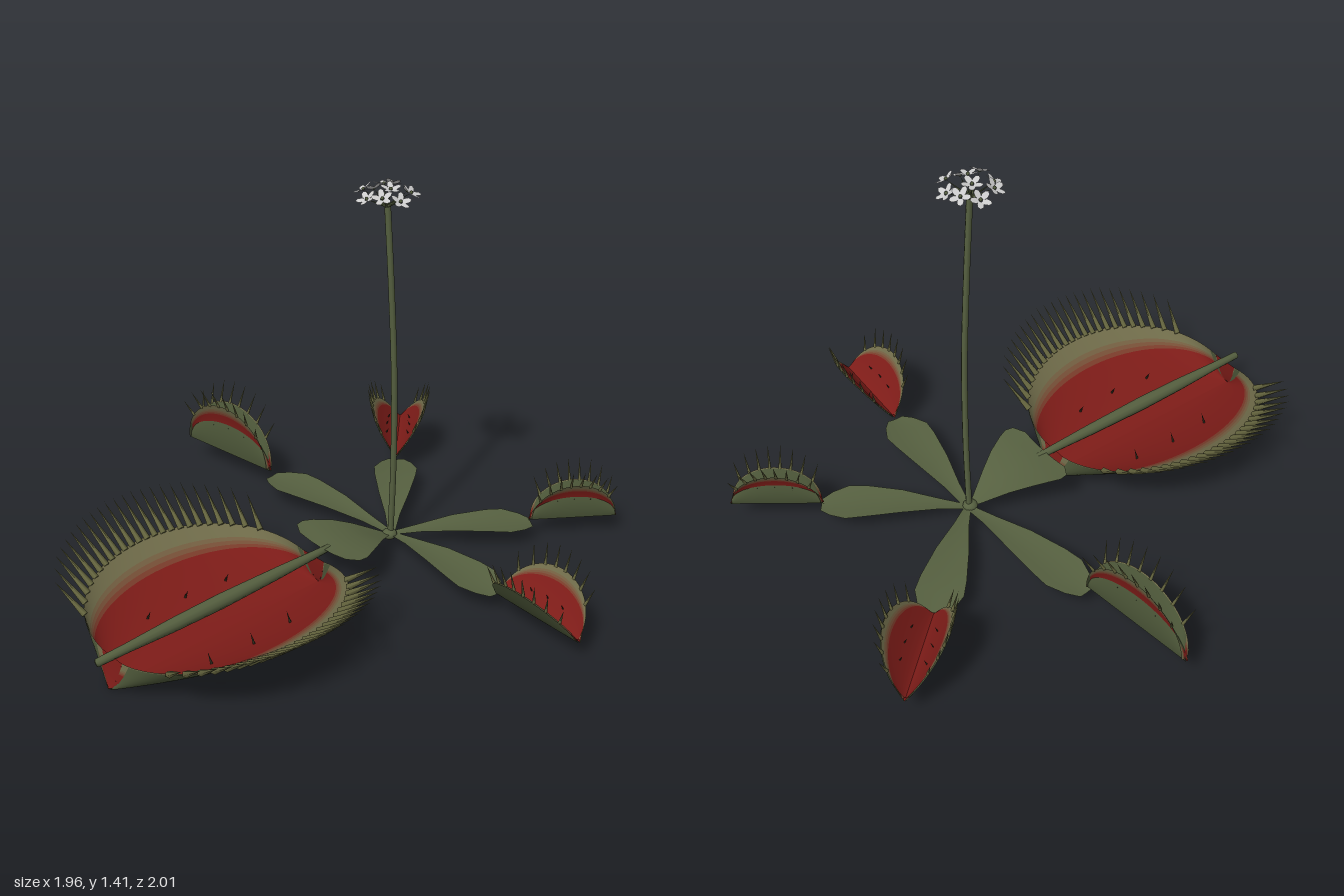
import * as THREE from 'three';
import { mergeGeometries } from 'three/addons/utils/BufferGeometryUtils.js';

const V = (x, y, z) => new THREE.Vector3(x, y, z);
const mat = (color, side = THREE.FrontSide) => new THREE.MeshStandardMaterial({ color, side });
const green = mat(0x566040), outerGreen = mat(0x4c5638, THREE.DoubleSide), leafGreen = mat(0x566040, THREE.DoubleSide);
const toothTan = mat(0x66663f), dark = mat(0x2c2a1c), white = mat(0xc4c4c4, THREE.DoubleSide);
// lobe lining, fading from red to the tan rim
const lining = [0, 0.25, 0.5, 0.75, 1].map((k) =>
  mat(new THREE.Color(0x7e1c18).lerp(new THREE.Color(0x706c4a), k), THREE.DoubleSide));

function add(parent, name, geometry, material) {
  const mesh = new THREE.Mesh(geometry, material);
  mesh.name = name;
  parent.add(mesh);
  return mesh;
}

// Grid surface through point(u, v), u and v in 0..1
function surface(point, nu, nv, flip = false) {
  const pos = [], index = [];
  for (let i = 0; i <= nu; i++)
    for (let j = 0; j <= nv; j++) pos.push(...point(i / nu, j / nv).toArray());
  for (let i = 0; i < nu; i++)
    for (let j = 0; j < nv; j++) {
      const a = i * (nv + 1) + j, b = a + nv + 1;
      if (flip) index.push(a, a + 1, b, b, a + 1, b + 1);
      else index.push(a, b, a + 1, b, b + 1, a + 1);
    }
  const g = new THREE.BufferGeometry();
  g.setAttribute('position', new THREE.Float32BufferAttribute(pos, 3));
  g.setIndex(index);
  g.computeVertexNormals();
  return g;
}

// Cone standing on base and pointing along dir
function spike(base, dir, length, radius, sides = 5) {
  const g = new THREE.ConeGeometry(radius, length, sides);
  g.translate(0, length / 2, 0);
  g.applyQuaternion(new THREE.Quaternion().setFromUnitVectors(V(0, 1, 0), dir.clone().normalize()));
  return g.translate(base.x, base.y, base.z);
}

// Two-lobed trap whose hinge runs from a to b
function trap(name, a, b, o) {
  const group = new THREE.Group();
  group.name = name;
  const half = a.distanceTo(b) / 2;
  group.position.copy(a).add(b).multiplyScalar(0.5);
  group.rotation.y = Math.atan2(b.x - a.x, b.z - a.z);

  const lobe = (side, u, s) => {
    const th = Math.PI * u, arc = Math.sin(th);
    const w = o.width * (o.endWidth + (1 - o.endWidth) * arc);
    const h = o.height * (o.endHeight + (1 - o.endHeight) * arc);
    // closed lobes bulge outwards, then cross each other
    const across = o.closed ? s * (0.55 - s) * 2 : s;
    return V(side * w * across, h * Math.pow(s, o.power), -Math.cos(th) * half * (1 - 0.05 * s));
  };

  for (const side of [1, -1]) {
    const label = side > 0 ? 'left' : 'right';
    const skin = (u, s) => lobe(side, u, s).add(V(side * 0.003, -0.003, 0));
    add(group, label + 'LobeOutside', surface(skin, 36, 12, side > 0), outerGreen);
    const stops = [0, o.redTo, o.redTo + 0.04, o.redTo + 0.08, o.redTo + 0.12, 1];
    lining.forEach((m, k) => {
      const band = (u, v) => lobe(side, u, stops[k] + (stops[k + 1] - stops[k]) * v);
      add(group, label + 'LobeLining', surface(band, 36, k ? 2 : 10, side < 0), m);
    });

    // marginal teeth
    const teeth = [];
    for (let i = 0; i < o.teeth; i++) {
      const t = -0.92 + 1.84 * (i + (side > 0 ? 0.4 : 0.6)) / o.teeth;
      const u = Math.acos(-t) / Math.PI;
      const dir = V(side * o.lean, 1, 0.45 * t);
      teeth.push(spike(lobe(side, u, 0.98), dir, o.toothLength * (0.6 + 0.4 * Math.sin(Math.PI * u)), o.toothRadius));
    }
    add(group, label + 'Teeth', mergeGeometries(teeth), toothTan);

    // trigger hairs
    const hairs = [-0.38, 0, 0.38].map((t) =>
      spike(lobe(side, Math.acos(-t) / Math.PI, 0.44), V(-side * 0.5, 1, 0), o.hair, o.hair * 0.13, 4));
    add(group, label + 'TriggerHairs', mergeGeometries(hairs), dark);
  }

  // red walls closing both ends between the lobes
  for (const end of [0, 1]) {
    const wall = (u, s) => lobe(-1, end, s).lerp(lobe(1, end, s), u);
    add(group, 'endWall', surface(wall, 2, 8, end === 0), lining[0]);
  }
  return group;
}

// Flat leaf stalk from a to b; profile rows are [position, half width]
function leaf(name, parent, a, b, rise, profile) {
  const dir = b.clone().sub(a);
  const across = V(-dir.z, 0, dir.x).normalize();
  const n = profile.length - 1;
  const point = (u, v) => {
    const [f, w] = profile[Math.round(u * n)];
    const k = v * 2 - 1;
    return a.clone().addScaledVector(dir, f).addScaledVector(across, k * w)
      .add(V(0, rise * Math.sin(Math.PI * f) + 0.1 * w * k * k, 0));
  };
  add(parent, name, surface(point, n, 4, true), leafGreen);
}

function flowerHead(center) {
  const group = new THREE.Group();
  group.name = 'flowerHead';
  const root = center.clone().add(V(0, -0.05, 0));
  const stalks = [], petals = [], hearts = [];
  for (let i = 0; i < 10; i++) {
    const inner = i >= 8;
    const ang = inner ? (i - 8) * Math.PI + 0.4 : i * Math.PI / 4 + 0.2;
    const r = inner ? 0.03 : 0.08;
    const tip = center.clone().add(V(r * Math.cos(ang), inner ? 0.018 : -0.012 + 0.014 * (i % 2), r * Math.sin(ang)));
    stalks.push(spike(root, tip.clone().sub(root), tip.distanceTo(root), 0.005, 5));
    const tilt = new THREE.Quaternion().setFromUnitVectors(V(0, 1, 0),
      V(Math.cos(ang) * r * 8, 1, Math.sin(ang) * r * 8).normalize());
    for (let p = 0; p < 5; p++) {
      const g = new THREE.CircleGeometry(0.014, 7);
      g.scale(1.2, 0.8, 1).rotateX(-Math.PI / 2).rotateZ(0.3).translate(0.02, 0.004, 0);
      g.rotateY(p * Math.PI * 0.4).applyQuaternion(tilt);
      petals.push(g.translate(tip.x, tip.y, tip.z));
    }
    hearts.push(new THREE.SphereGeometry(0.006, 6, 4).translate(tip.x, tip.y + 0.002, tip.z));
  }
  add(group, 'flowerStalks', mergeGeometries(stalks), green);
  add(group, 'petals', mergeGeometries(petals), white);
  add(group, 'flowerCenters', mergeGeometries(hearts), green);
  return group;
}

export function createModel() {
  const root = new THREE.Group();
  root.name = 'flytrapPlant';

  // Crown and flower stem
  const crown = add(root, 'crown', new THREE.SphereGeometry(0.028, 12, 8), green);
  crown.scale.y = 0.7;
  crown.position.set(0.055, 0.053, -0.3);
  const stemPath = new THREE.CatmullRomCurve3([V(0.055, 0.05, -0.305), V(0.066, 0.35, -0.3),
    V(0.071, 0.7, -0.288), V(0.064, 1.05, -0.27), V(0.053, 1.335, -0.255)]);
  add(root, 'flowerStem', new THREE.TubeGeometry(stemPath, 30, 0.011, 8), green);
  root.add(flowerHead(V(0.055, 1.38, -0.25)));

  // Leaf stalks
  const blade = [[0, 0.012], [0.2, 0.028], [0.45, 0.058], [0.7, 0.08], [0.82, 0.085], [0.93, 0.06], [1, 0.03]];
  const heart = V(0.055, 0.05, -0.31);
  const ends = {
    left: V(0.6, 0.07, -0.27), right: V(-0.54, 0.07, -0.24),
    backRight: V(-0.315, 0.062, -0.71), backLeft: V(0.37, 0.062, -0.73),
  };
  for (const [k, end] of Object.entries(ends)) leaf(k + 'Leaf', root, heart, end, 0.02, blade);
  leaf('frontLeaf', root, V(0.053, 0.06, -0.28), V(0.053, 0.13, 0.035), 0.025,
    [[0, 0.02], [0.3, 0.08], [0.5, 0.12], [0.7, 0.152], [0.82, 0.168], [0.92, 0.163], [1, 0.12]]);

  // Large front trap with its midrib
  root.add(trap('largeTrap', V(0.053, 0.004, 0.055), V(0.053, 0.004, 0.96), {
    width: 0.415, height: 0.18, endWidth: 0.13, endHeight: 0.64, power: 1.6, redTo: 0.73,
    teeth: 24, lean: 1.25, toothLength: 0.19, toothRadius: 0.012, hair: 0.04,
  }));
  const rib = [[0, 0], [0.012, 0.002], [0.015, 0.08], [0.021, 0.25], [0.026, 0.5], [0.023, 0.7],
    [0.016, 0.88], [0.014, 0.995], [0, 1]].map(([r, y]) => new THREE.Vector2(r, y));
  const midrib = add(root, 'midrib', new THREE.LatheGeometry(rib, 10), green);
  midrib.rotation.x = Math.PI / 2;
  midrib.position.set(0.053, 0.122, 0);

  // Small traps, two open and two shut
  const open = { width: 0.108, height: 0.145, endWidth: 0.04, endHeight: 0.05, power: 1.25, redTo: 0.78,
    teeth: 8, lean: 0.25, toothLength: 0.085, toothRadius: 0.006, hair: 0.022 };
  const shut = { ...open, closed: true, width: 0.03, endWidth: 0.6, power: 1, lean: -0.45 };
  root.add(trap('leftTrap', V(0.6, 0.08, -0.27), V(0.975, 0.08, -0.25), open));
  root.add(trap('backRightTrap', V(-0.31, 0.08, -0.7), V(-0.555, 0.08, -0.975), open));
  root.add(trap('rightTrap', V(-0.535, 0.1, -0.235), V(-0.98, 0.1, -0.185),
    { ...shut, height: 0.21, toothLength: 0.095 }));
  root.add(trap('backLeftTrap', V(0.362, 0.08, -0.722), V(0.562, 0.08, -0.99), { ...shut, height: 0.145 }));
  return root;
}
